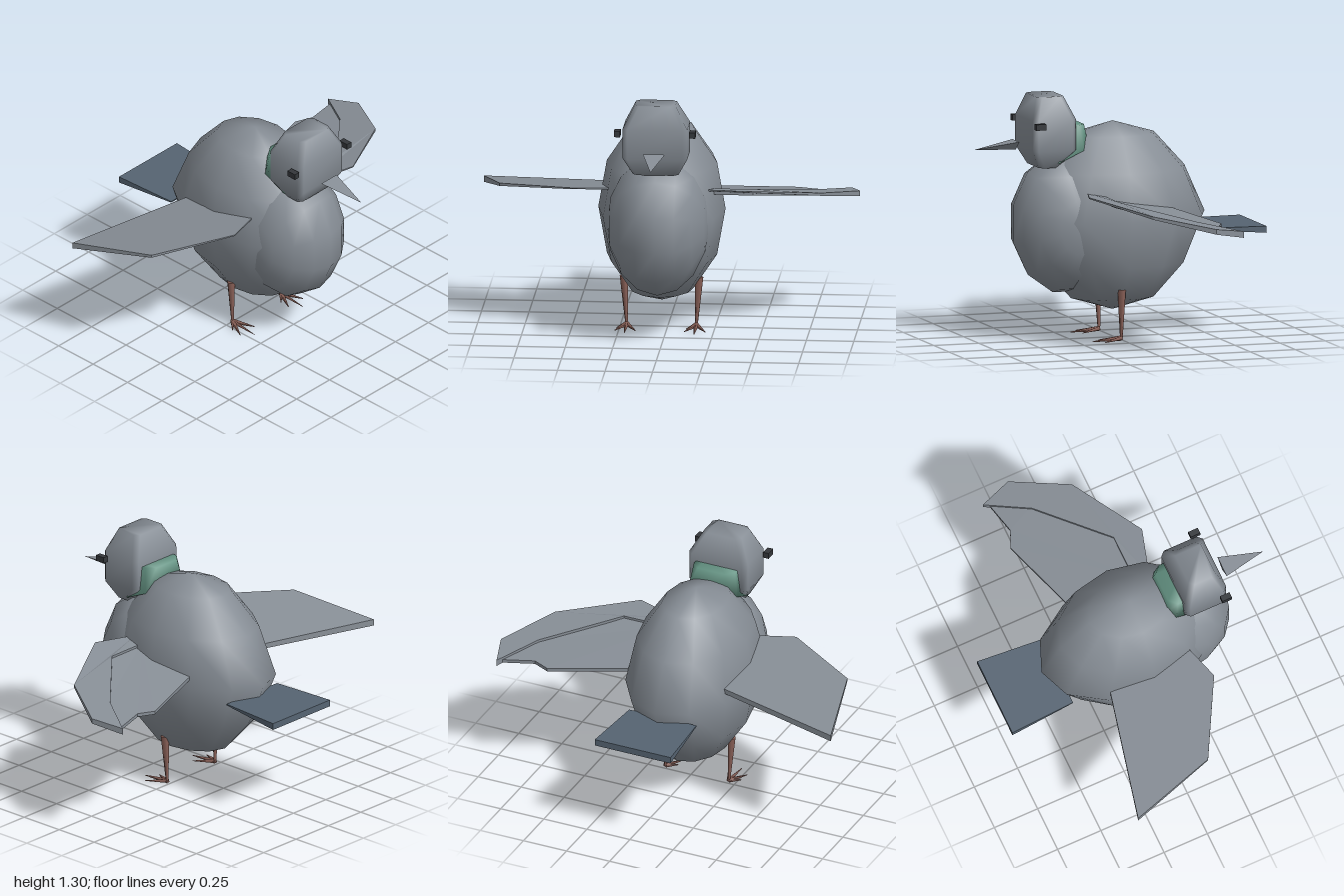
import * as THREE from 'three';
import { mergeVertices } from 'three/addons/utils/BufferGeometryUtils.js';

const material = (name, color, extra = {}) => {
  const m = new THREE.MeshStandardMaterial({ color, ...extra });
  m.name = name;
  return m;
};

const CX = -0.03; // body centre line

// Loft of chamfered rectangles, listed from bottom to top as [y, x0, x1, z0, z1]
function loft(sections, c) {
  const pos = [], idx = [], n = 8;
  for (const [y, x0, x1, z0, z1, tilt = 0] of sections) {
    const ring = [[x1 - c, z1], [x1, z1 - c], [x1, z0 + c], [x1 - c, z0],
      [x0 + c, z0], [x0, z0 + c], [x0, z1 - c], [x0 + c, z1]];
    for (const [x, z] of ring) pos.push(x, y + tilt * (z - z0), z);
  }
  const last = (sections.length - 1) * n;
  for (let s = 0; s < last; s += n) {
    for (let i = 0; i < n; i++) {
      const a = s + i, b = s + (i + 1) % n;
      idx.push(a, b, b + n, a, b + n, a + n);
    }
  }
  for (let i = 1; i < n - 1; i++) {
    idx.push(0, i + 1, i, last, last + i, last + i + 1);
  }
  const g = new THREE.BufferGeometry();
  g.setAttribute('position', new THREE.Float32BufferAttribute(pos, 3));
  g.setIndex(idx);
  g.computeVertexNormals();
  return g;
}

// Plate with an outline in x and z; topAt and thickAt give height and thickness
function plate(outline, topAt, thickAt) {
  const shape = new THREE.Shape(outline.map(([x, z]) => new THREE.Vector2(x, -z)));
  const g = new THREE.ExtrudeGeometry(shape, { depth: 1, bevelEnabled: false });
  g.rotateX(-Math.PI / 2);
  const p = g.attributes.position;
  for (let i = 0; i < p.count; i++) {
    const x = p.getX(i), z = p.getZ(i);
    p.setY(i, topAt(x, z) - (1 - p.getY(i)) * thickAt(x, z));
  }
  g.computeVertexNormals();
  return g;
}

// Thin tapering rod between two points
function spike(from, to, r0, r1, sides = 5) {
  const a = new THREE.Vector3(...from), b = new THREE.Vector3(...to);
  const dir = b.clone().sub(a);
  const g = new THREE.CylinderGeometry(r1, r0, dir.length(), sides);
  g.applyQuaternion(new THREE.Quaternion().setFromUnitVectors(
    new THREE.Vector3(0, 1, 0), dir.clone().normalize()));
  const mid = a.add(b).multiplyScalar(0.5);
  return g.translate(mid.x, mid.y, mid.z);
}

export function createModel() {
  const group = new THREE.Group();
  group.name = 'bird';
  const plumage = material('grey plumage', 0x878e96);
  const tailBlue = material('slate tail', 0x566472);
  const collarGreen = material('green collar', 0x659484);
  const legRed = material('reddish legs', 0x8c6259);
  const eyeDark = material('dark eyes', 0x34373b);

  const add = (name, geometry, mat, parent = group) => {
    const mesh = new THREE.Mesh(geometry, mat);
    mesh.name = name;
    parent.add(mesh);
    return mesh;
  };

  // Body: coarse ellipsoid, a little slimmer in depth away from the equator
  let body = new THREE.SphereGeometry(1, 12, 6);
  body.deleteAttribute('uv');
  body.deleteAttribute('normal');
  body = mergeVertices(body, 1e-3);
  const bp = body.attributes.position;
  for (let i = 0; i < bp.count; i++) {
    if (Math.abs(bp.getY(i)) > 0.1) bp.setZ(i, bp.getZ(i) * 0.9);
  }
  body.scale(0.335, 0.5, 0.51).translate(CX, 0.645, 0);
  body.computeVertexNormals();
  add('body', body, plumage);

  // Breast: ellipsoid turned so its poles lie left and right
  const breast = new THREE.SphereGeometry(1, 12, 8);
  breast.rotateZ(Math.PI / 2).rotateX(Math.PI / 12);
  breast.scale(0.27, 0.385, 0.31).translate(CX, 0.62, 0.25);
  add('breast', breast, plumage);

  // Head and collar
  add('head', loft([
    [0.925, -0.15, 0.09, 0.33, 0.44],
    [1.02, -0.2, 0.14, 0.25, 0.49],
    [1.18, -0.2, 0.14, 0.25, 0.49],
    [1.3, -0.14, 0.075, 0.3, 0.45],
  ], 0.025), plumage);
  add('collar', loft([
    [1.03, -0.17, 0.11, 0.165, 0.38, -0.45],
    [1.145, -0.15, 0.09, 0.185, 0.36],
  ], 0.04), collarGreen);

  // Beak: three sided, flat side up, tip forward
  const beak = new THREE.BufferGeometry();
  beak.setAttribute('position', new THREE.Float32BufferAttribute([
    CX - 0.058, 1.062, 0.535, CX + 0.058, 1.062, 0.535,
    CX, 1.015, 0.535, CX, 1.022, 0.77], 3));
  beak.setIndex([0, 3, 1, 1, 3, 2, 2, 3, 0, 0, 1, 2]);
  const beakFlat = beak.toNonIndexed();
  beakFlat.computeVertexNormals();
  add('beak', beakFlat, plumage);

  // Eyes
  for (const [name, x] of [['rightEye', -0.228], ['leftEye', 0.168]]) {
    add(name, new THREE.BoxGeometry(0.032, 0.032, 0.055), eyeDark).position.set(x, 1.157, 0.465);
  }

  // Wings: spread plates, thin at the leading edge
  const wingThick = (x, z) => 0.006 + 0.04 * (0.3 - z);
  const slope = z => 0.763 + 0.165 * z;
  add('rightWing', plate(
    [[-1, -0.4], [-0.88, 0.06], [-0.48, 0.28], [-0.24, 0.21], [-0.24, -0.225]],
    (x, z) => slope(z), wingThick), plumage);
  const leftTop = (x, z) => slope(z) - 0.05 * Math.max(0, x - 0.42);
  const leftWing = new THREE.Group();
  leftWing.name = 'leftWing';
  group.add(leftWing);
  add('leftWingFront', plate(
    [[0.18, 0.21], [0.42, 0.28], [0.82, 0.06], [0.995, -0.23], [0.94, -0.4], [0.8, -0.18], [0.45, 0.13], [0.18, 0.13]],
    leftTop, wingThick), plumage, leftWing);
  add('leftWingRear', plate(
    [[0.2, 0.15], [0.46, 0.15], [0.82, -0.17], [0.93, -0.37], [0.75, -0.33], [0.66, -0.37], [0.22, -0.23]],
    (x, z) => leftTop(x, z) - 0.014, () => 0.018), plumage, leftWing);

  // Tail: wedge that thickens backwards
  add('tail', plate(
    [[-0.25, -0.78], [0.19, -0.78], [0.16, -0.42], [-0.23, -0.42]],
    () => 0.577, (x, z) => 0.005 + 0.08 * (-0.4 - z)), tailBlue);

  // Legs with three forward toes each
  for (const [name, x, side] of [['rightLeg', -0.215, -1], ['leftLeg', 0.152, 1]]) {
    const leg = new THREE.Group();
    leg.name = name;
    group.add(leg);
    add('shin', spike([x + side * 0.015, 0.275, 0.015], [x, 0.012, 0.012], 0.022, 0.007, 6), legRed, leg);
    for (const [dx, dz] of [[-0.055, 0.12], [0, 0.17], [0.055, 0.12], [-0.05, 0.06]]) {
      add('toe', spike([x, 0.015, 0.012], [x + dx, 0.003, dz], 0.014, 0.002, 4), legRed, leg);
    }
  }
  return group;
}
